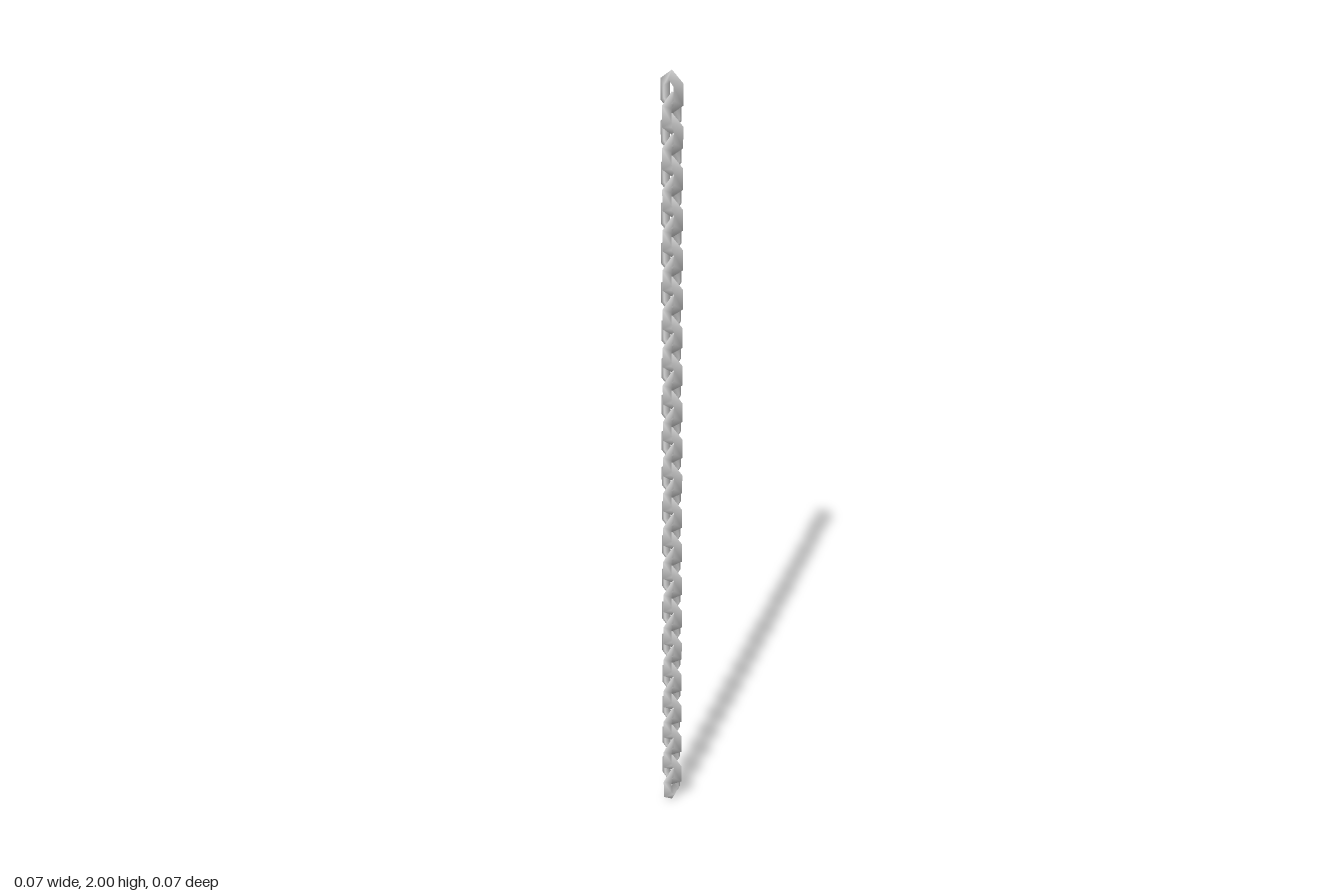
import * as THREE from 'three';
import { mergeVertices } from 'three/addons/utils/BufferGeometryUtils.js';

const LINKS = 40;
const HALF_H = 0.05, HALF_W = 0.0333;      // outer ridge of a link
const HOLE_H = 0.03, HOLE_W = 0.0145;      // opening of a link
const HALF_DEPTH = 0.0107;

// Six-sided pointed link with a triangular section: sharp ridge outside, flat inside
function linkGeometry() {
  let g = new THREE.TorusGeometry(2, 1, 3, 6);
  g.rotateZ(Math.PI / 6);
  const p = g.attributes.position;
  const c = Math.cos(Math.PI / 6);
  for (let i = 0; i < p.count; i++) {
    const x = p.getX(i), y = p.getY(i), z = p.getZ(i);
    const r = Math.hypot(x, y);
    const ridge = Math.abs(z) < 0.01;
    const w = (ridge ? HALF_W : HOLE_W) / c;
    const h = ridge ? HALF_H : HOLE_H;
    p.setXYZ(i, (x / r) * w, (y / r) * h, ridge ? 0 : Math.sign(z) * HALF_DEPTH);
  }
  g.deleteAttribute('uv');
  g.deleteAttribute('normal');
  g = mergeVertices(g, 1e-5);
  g.computeVertexNormals();
  return g;
}

export function createModel() {
  const chain = new THREE.Group();
  chain.name = 'chain';
  const geometry = linkGeometry();
  const material = new THREE.MeshStandardMaterial({ color: 0xcccccc });
  const pitch = (2 - 2 * HALF_H) / (LINKS - 1);

  // Links alternate by a quarter turn, from the bottom up
  for (let i = 0; i < LINKS; i++) {
    const link = new THREE.Mesh(geometry, material);
    link.name = `link${i + 1}`;
    link.position.y = HALF_H + i * pitch;
    link.rotation.y = i % 2 ? 0 : Math.PI / 2;
    chain.add(link);
  }
  return chain;
}
